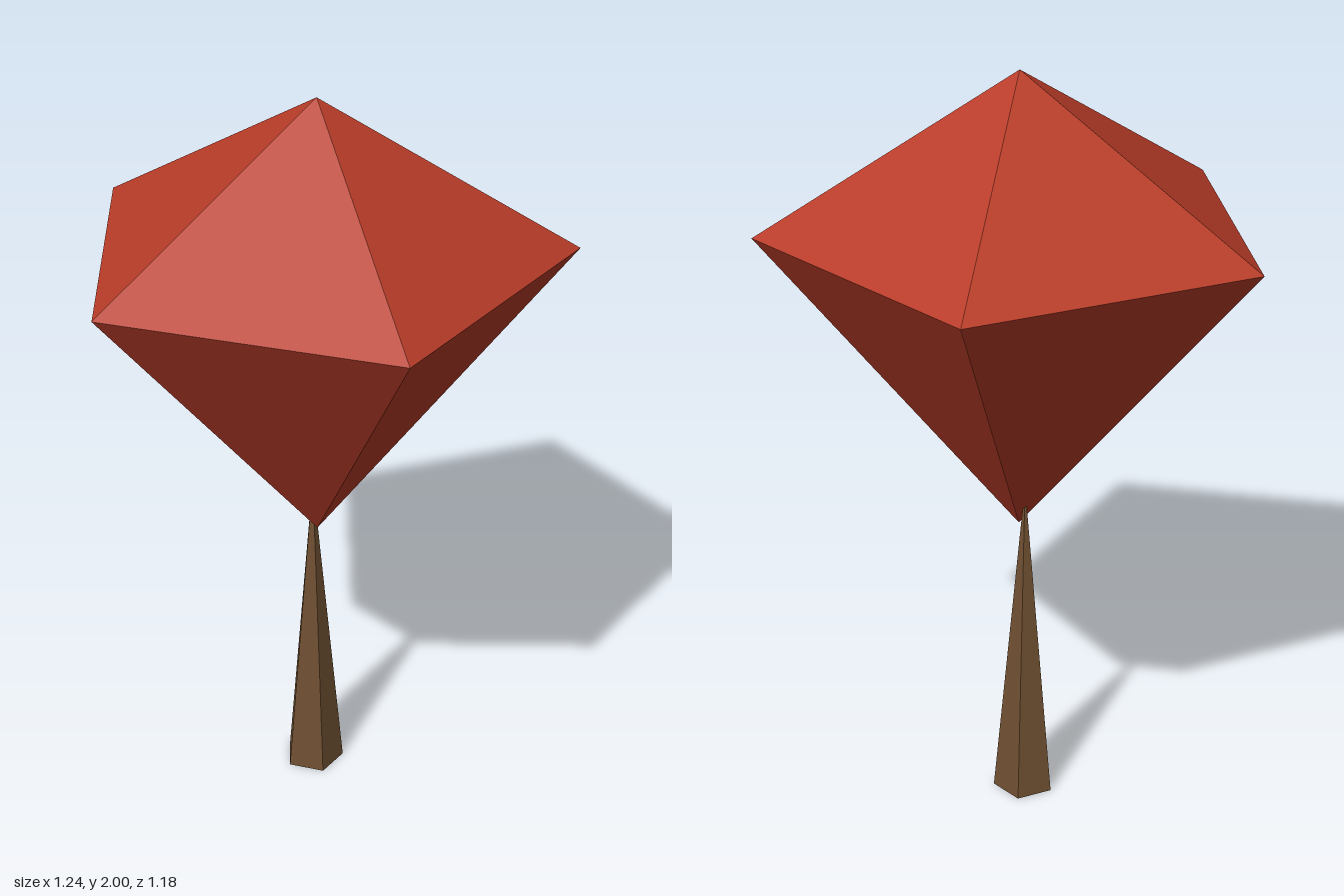
import * as THREE from 'three';

const SIDES = 5;

export function createModel() {
  const model = new THREE.Group();
  model.name = 'tree';

  const foliageRed = new THREE.MeshStandardMaterial({ color: 0xb83c28, flatShading: true });
  foliageRed.name = 'foliageRed';
  const barkBrown = new THREE.MeshStandardMaterial({ color: 0x6f5032, flatShading: true, side: THREE.DoubleSide });
  barkBrown.name = 'barkBrown';

  // A five-sided open taper from y0 to y1, with one corner facing the front
  function taper(name, material, rBottom, rTop, y0, y1, z) {
    const geometry = new THREE.CylinderGeometry(rTop, rBottom, y1 - y0, SIDES, 1, true);
    const mesh = new THREE.Mesh(geometry, material);
    mesh.name = name;
    mesh.position.set(0, (y0 + y1) / 2, z);
    return mesh;
  }

  // Canopy: two pentagonal pyramids joined at their widest ring
  const canopy = new THREE.Group();
  canopy.name = 'canopy';
  canopy.add(
    taper('canopyTop', foliageRed, 0.654, 0, 1.6, 2, -0.065),
    taper('canopyBottom', foliageRed, 0, 0.654, 0.785, 1.6, -0.065)
  );

  // Trunk: slim spike, open underneath, its tip hidden in the canopy
  model.add(canopy, taper('trunk', barkBrown, 0.083, 0, 0, 0.91, -0.103));
  return model;
}
